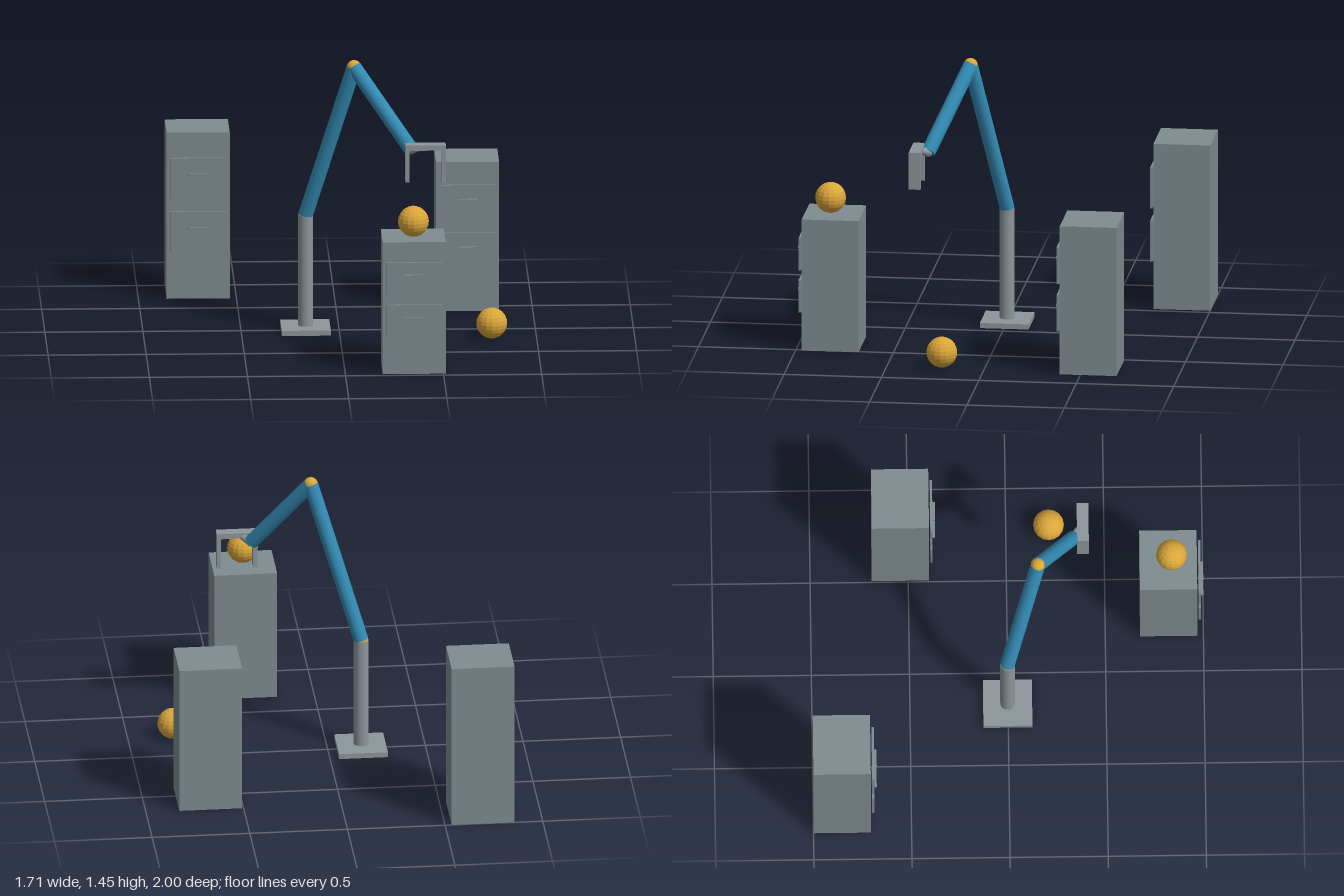
import * as THREE from 'three';

function material(name, color) {
  const m = new THREE.MeshStandardMaterial({ color });
  m.name = name;
  return m;
}

export function createModel() {
  const root = new THREE.Group();
  root.name = 'robotArmScene';

  const cabinetGrey = material('cabinetGrey', 0x7f8c8f);
  const metalGrey = material('metalGrey', 0x8c969b);
  const armBlue = material('armBlue', 0x338bb5);
  const amber = material('amber', 0xdaa63a);
  amber.flatShading = true;

  const add = (parent, name, geometry, mat, x, y, z) => {
    const mesh = new THREE.Mesh(geometry, mat);
    mesh.name = name;
    mesh.position.set(x, y, z);
    parent.add(mesh);
    return mesh;
  };
  const box = (parent, name, mat, size, pos) =>
    add(parent, name, new THREE.BoxGeometry(...size), mat, ...pos);

  // A cylinder or cone running between two points
  const link = (parent, name, mat, a, b, r0, r1 = r0) => {
    const dir = b.clone().sub(a);
    const mid = a.clone().add(b).multiplyScalar(0.5);
    const mesh = add(parent, name, new THREE.CylinderGeometry(r1, r0, dir.length(), 16), mat, mid.x, mid.y, mid.z);
    mesh.quaternion.setFromUnitVectors(new THREE.Vector3(0, 1, 0), dir.normalize());
    return mesh;
  };
  const ball = (parent, name, r, p) =>
    add(parent, name, new THREE.SphereGeometry(r, 16, 12), amber, p.x, p.y, p.z);

  // Filing cabinets: drawers and handles sit at fixed fractions of the height
  const cabinet = (name, x, zBack, height) => {
    const g = new THREE.Group();
    g.name = name;
    const depth = 0.292;
    g.position.set(x, 0, zBack + depth / 2);
    box(g, 'cabinetBody', cabinetGrey, [0.322, height, depth], [0, height / 2, 0]);
    for (const [label, f] of [['lower', 0.405], ['upper', 0.727]]) {
      box(g, label + 'Drawer', cabinetGrey, [0.286, height * 0.247, 0.012], [0, height * f, depth / 2 + 0.013]);
      box(g, label + 'Handle', cabinetGrey, [0.098, 0.014, 0.014], [0, height * (f + 0.023), depth / 2 + 0.025]);
    }
    root.add(g);
  };
  cabinet('tallCabinet', -0.695, -1.0, 0.87);
  cabinet('middleCabinet', 0.668, -0.686, 0.78);
  cabinet('shortCabinet', 0.351, 0.677, 0.69);

  // Loose balls, one on the short cabinet and one on the floor
  ball(root, 'cabinetBall', 0.079, new THREE.Vector3(0.351, 0.769, 0.84));
  ball(root, 'floorBall', 0.079, new THREE.Vector3(0.771, 0.083, 0.218));

  // Jointed arm on a pedestal
  const arm = new THREE.Group();
  arm.name = 'robotArm';
  root.add(arm);
  const foot = new THREE.Vector3(-0.171, 0.02, -0.002);
  const shoulder = new THREE.Vector3(-0.171, 0.605, -0.002);
  const elbow = new THREE.Vector3(0.071, 1.414, 0.156);
  const wrist = new THREE.Vector3(0.355, 1.025, 0.338);
  const hand = new THREE.Vector3(0.4275, 1.05, 0.388);
  box(arm, 'basePlate', metalGrey, [0.25, 0.027, 0.25], [-0.171, 0.0135, -0.002]);
  link(arm, 'pedestal', metalGrey, foot, shoulder, 0.038);
  ball(arm, 'shoulderJoint', 0.037, shoulder);
  link(arm, 'upperArm', armBlue, shoulder, elbow, 0.038);
  ball(arm, 'elbowJoint', 0.037, elbow);
  link(arm, 'forearm', armBlue, elbow, wrist, 0.038);
  link(arm, 'wristLink', metalGrey, wrist, hand, 0.027, 0.009);

  // Gripper: a cross bar with two fingers hanging down
  const gripper = new THREE.Group();
  gripper.name = 'gripper';
  gripper.position.copy(hand);
  arm.add(gripper);
  box(gripper, 'gripperBar', metalGrey, [0.206, 0.028, 0.06], [0, 0, 0]);
  for (const s of [-1, 1]) {
    box(gripper, s > 0 ? 'leftFinger' : 'rightFinger', metalGrey, [0.021, 0.166, 0.06], [s * 0.0925, -0.097, 0]);
  }
  return root;
}
